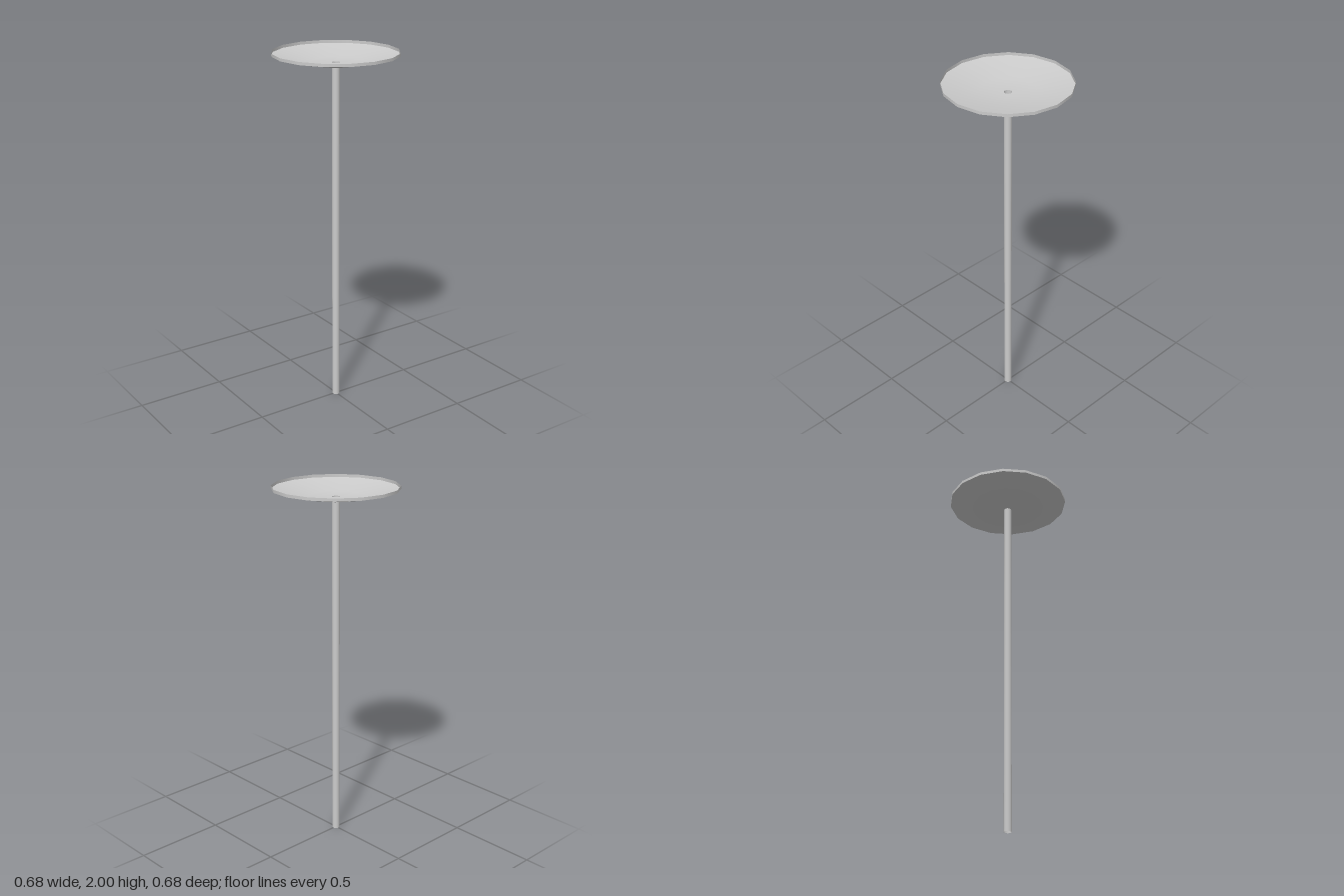
import * as THREE from 'three';

const SIDES = 16;

export function createModel() {
  const group = new THREE.Group();
  const material = new THREE.MeshStandardMaterial({ color: 0xcccccc, side: THREE.DoubleSide });

  // Thin sheet turned around the y axis from [radius, height] pairs
  const turned = (name, profile) => {
    const points = profile.map(([r, y]) => new THREE.Vector2(r, y));
    const mesh = new THREE.Mesh(new THREE.LatheGeometry(points, SIDES), material);
    mesh.name = name;
    group.add(mesh);
  };

  // Hollow pole, open at both ends
  turned('pole', [[0.021, 0], [0.021, 1.943]]);

  // Shallow dish with a central hole, flat in the middle and sloping up
  turned('dish', [[0.021, 1.943], [0.15, 1.943], [0.339, 1.984]]);

  // Short upright rim around the dish
  turned('rim', [[0.339, 1.984], [0.339, 2]]);

  return group;
}
